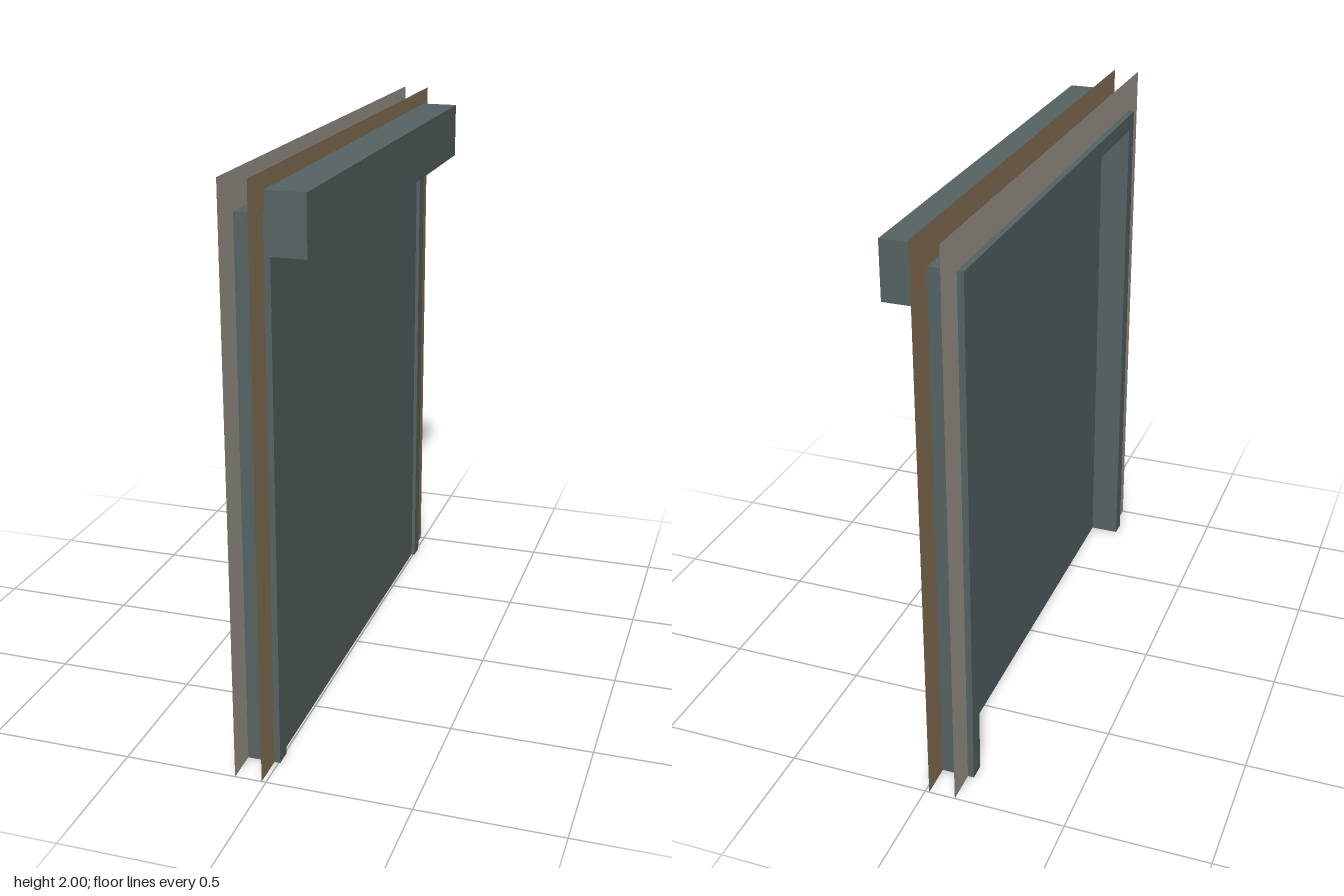
import * as THREE from 'three';

const steel = new THREE.MeshStandardMaterial({ color: 0x566463 });
steel.name = 'slate steel';
const brown = new THREE.MeshStandardMaterial({ color: 0x8a7557, side: THREE.DoubleSide });
brown.name = 'brown cladding';
const grey = new THREE.MeshStandardMaterial({ color: 0xa09b90, side: THREE.DoubleSide });
grey.name = 'warm grey lining';

const HALF = 0.88; // half width of the door frame
const HEAD = 1.875; // top of the door frame
const RAIL = 0.06; // face width of the frame members

// Box given by its limits on each axis
function box(name, [x0, x1], [y0, y1], [z0, z1]) {
  const mesh = new THREE.Mesh(new THREE.BoxGeometry(x1 - x0, y1 - y0, z1 - z0), steel);
  mesh.position.set((x0 + x1) / 2, (y0 + y1) / 2, (z0 + z1) / 2);
  mesh.name = name;
  return mesh;
}

// Thin wall sheet with the doorway cut out, standing across the x axis
function wallSheet(name, x, material) {
  const points = [[-1, 0], [-1, 2], [1, 2], [1, 0], [HALF, 0], [HALF, HEAD], [-HALF, HEAD], [-HALF, 0]];
  const shape = new THREE.Shape(points.map(([a, b]) => new THREE.Vector2(a, b)));
  const mesh = new THREE.Mesh(new THREE.ShapeGeometry(shape), material);
  mesh.rotation.y = Math.PI / 2;
  mesh.position.x = x;
  mesh.name = name;
  return mesh;
}

export function createModel() {
  const door = new THREE.Group();
  door.name = 'rollerDoor';

  // Wall faces on either side of the frame
  door.add(wallSheet('outerWall', -0.015, brown), wallSheet('innerWall', -0.109, grey));

  // Frame: two jambs and a head between them
  const depth = [-0.131, 0.006];
  const frame = new THREE.Group();
  frame.name = 'doorFrame';
  frame.add(
    box('leftJamb', depth, [0, HEAD], [HALF - RAIL, HALF]),
    box('rightJamb', depth, [0, HEAD], [-HALF, RAIL - HALF]),
    box('frameHead', depth, [HEAD - RAIL, HEAD], [RAIL - HALF, HALF - RAIL]),
  );
  door.add(frame);

  // Shutter curtain with a slim gap at each jamb
  door.add(box('curtain', [-0.024, -0.006], [0.003, HEAD - RAIL], [-0.815, 0.815]));

  // Housing for the rolled shutter
  door.add(box('rollerHousing', [-0.004, 0.129], [1.75, 1.95], [-0.897, 0.897]));

  return door;
}
